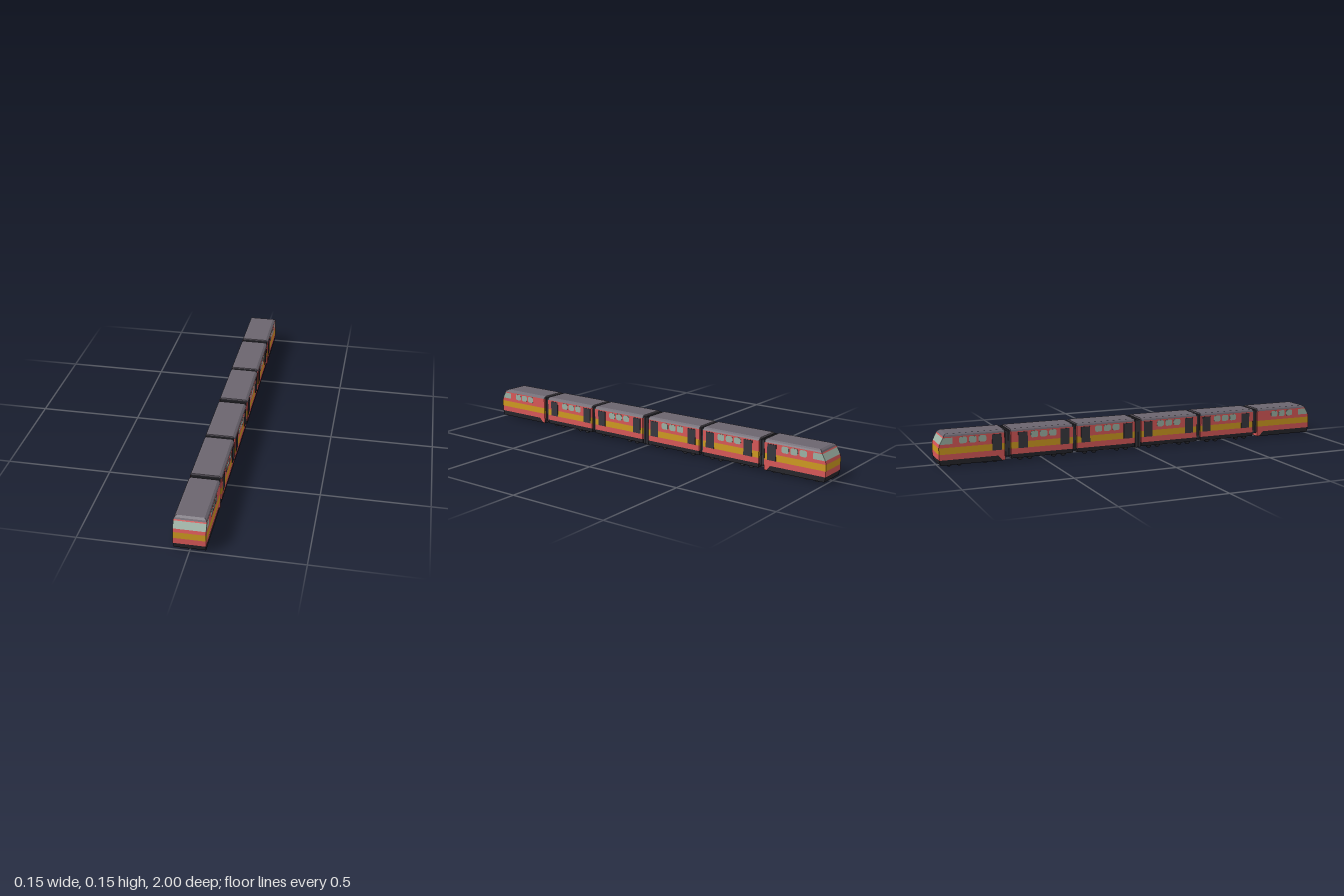
import * as THREE from 'three';

const mat = (name, color, side = THREE.FrontSide) => {
  const m = new THREE.MeshStandardMaterial({ color, side });
  m.name = name;
  return m;
};

export function createModel() {
  const train = new THREE.Group();
  train.name = 'train';
  const red = mat('red paint', 0xd95858), yellow = mat('yellow stripe', 0xcf9a20);
  const glass = mat('pale glass', 0x9db3a6), roofGrey = mat('roof grey', 0x6b656f);
  const black = mat('underframe black', 0x26262c), dark = mat('door charcoal', 0x38383f);
  const W = 0.072;

  const add = (parent, name, geo, material, x = 0, y = 0, z = 0) => {
    const m = new THREE.Mesh(geo, material);
    m.name = name;
    m.position.set(x, y, z);
    parent.add(m);
    return m;
  };

  // How far the cab end leans back at a given height
  const lean = (y) => (y > 0.1 ? (y - 0.1) * 0.55 : 0) + (y > 0.149 ? (y - 0.149) * 1.2 : 0)
    + (y < 0.03 ? (0.03 - y) * 0.3 : 0);

  // A horizontal slice of bodywork; ends that reach |z| = 1 follow the cab slope
  const band = (parent, name, material, y0, y1, zRear, zFront, w0 = W, w1 = W) => {
    const geo = new THREE.BoxGeometry(2, 1, 1).toNonIndexed();
    const p = geo.attributes.position;
    for (let i = 0; i < p.count; i++) {
      const top = p.getY(i) > 0, y = top ? y1 : y0;
      let z = p.getZ(i) > 0 ? zFront : zRear;
      if (Math.abs(z) > 0.999) z -= Math.sign(z) * lean(y);
      p.setXYZ(i, p.getX(i) * (top ? w1 : w0), y, z);
    }
    geo.computeVertexNormals();
    return add(parent, name, geo, material);
  };

  // Rounded window plate facing +x
  const windowShape = new THREE.Shape();
  const ww = 0.0185, wh = 0.0155, r = 0.011;
  windowShape.moveTo(-ww + r, -wh);
  windowShape.lineTo(ww - r, -wh);
  windowShape.quadraticCurveTo(ww, -wh, ww, -wh + r);
  windowShape.lineTo(ww, wh - r);
  windowShape.quadraticCurveTo(ww, wh, ww - r, wh);
  windowShape.lineTo(-ww + r, wh);
  windowShape.quadraticCurveTo(-ww, wh, -ww, wh - r);
  windowShape.lineTo(-ww, -wh + r);
  windowShape.quadraticCurveTo(-ww, -wh, -ww + r, -wh);
  const windowGeo = new THREE.ExtrudeGeometry(windowShape, { depth: 0.002, bevelEnabled: false, curveSegments: 5 });
  windowGeo.translate(0, 0, -0.001).rotateY(Math.PI / 2);

  const doorGeo = new THREE.BoxGeometry(0.003, 0.077, 0.046);
  const wheelGeo = new THREE.CylinderGeometry(0.014, 0.014, 0.011, 18).rotateZ(Math.PI / 2);
  const hubGeo = new THREE.CylinderGeometry(0.006, 0.006, 0.014, 12).rotateZ(Math.PI / 2);

  // Rear and front of each carriage, door centres and window centre
  const cars = [
    { z0: 0.685, z1: 1, doors: [], win: 0.832 },
    { z0: 0.349, z1: 0.656, doors: [0.61, 0.382], win: 0.49 },
    { z0: 0.016, z1: 0.326, doors: [0.281, 0.053], win: 0.167 },
    { z0: -0.326, z1: -0.02, doors: [-0.057, -0.281], win: -0.167 },
    { z0: -0.657, z1: -0.347, doors: [-0.388, -0.598], win: -0.495 },
    { z0: -1, z1: -0.687, doors: [-0.725], win: -0.84 },
  ];

  cars.forEach(({ z0, z1, doors, win }, i) => {
    const car = new THREE.Group();
    car.name = i === 0 ? 'frontCar' : i === 5 ? 'rearCar' : 'middleCar' + i;
    train.add(car);
    const first = i === 0, last = i === 5;

    // Bodywork stacked from skirt to roof
    band(car, 'skirt', black, first || last ? 0.008 : 0.013, 0.033, z0, z1, W - 0.002, W - 0.001);
    band(car, 'lowerPanel', red, 0.033, 0.06, z0, z1);
    band(car, 'stripe', yellow, 0.06, 0.091, z0, z1);
    band(car, 'midPanel', red, 0.091, 0.107, z0, z1);
    const a = last ? -0.935 : z0, b = first ? 0.935 : z1;
    band(car, 'windowPanel', red, 0.107, 0.137, a, b);
    if (first) band(car, 'windscreen', glass, 0.107, 0.137, b, z1);
    if (last) band(car, 'windscreen', glass, 0.107, 0.137, z0, a);
    band(car, 'upperPanel', red, 0.137, 0.142, z0, z1);
    band(car, 'roofEdge', roofGrey, 0.142, 0.149, z0, z1, W, 0.069);
    band(car, 'roof', roofGrey, 0.149, 0.155, z0, z1, 0.069, 0.06);

    for (const s of [-1, 1]) {
      for (const z of doors) add(car, 'door', doorGeo, dark, s * (W + 0.0005), 0.0985, z);
      for (const k of [-1, 0, 1]) add(car, 'sideWindow', windowGeo, glass, s * W, 0.122, win + k * 0.046);
    }

    // Red fairing at the coupled end of both cab cars
    if (first || last) {
      const e = first ? z0 : -z1;
      const shape = new THREE.Shape([[e, 0.034], [e, 0.01], [e + 0.012, 0.01], [e + 0.035, 0.034]]
        .map(([z, y]) => new THREE.Vector2(z, y)));
      const geo = new THREE.ExtrudeGeometry(shape, { depth: 2 * W, bevelEnabled: false });
      geo.translate(0, 0, -W).rotateY(first ? -Math.PI / 2 : Math.PI / 2);
      add(car, 'fairing', geo, red);
    }

    // Two bogies of two axles each
    if (!first) {
      const mid = (z0 + z1) / 2;
      for (const bogie of [-0.085, 0.085]) for (const axle of [-0.024, 0.024]) for (const s of [-1, 1]) {
        add(car, 'wheel', wheelGeo, black, s * 0.055, 0.014, mid + bogie + axle);
        add(car, 'hub', hubGeo, dark, s * 0.055, 0.014, mid + bogie + axle);
      }
    }
  });

  // Flexible gangways between neighbouring carriages, each with raised ribs
  for (let i = 0; i < cars.length - 1; i++) {
    const zf = cars[i].z0, zr = cars[i + 1].z1, mid = (zf + zr) / 2, len = zf - zr;
    const low = i === 2 ? 0.008 : 0.025;
    add(train, 'gangway', new THREE.BoxGeometry(0.124, 0.146 - low, len), dark, 0, (0.146 + low) / 2, mid);
    for (const k of [-0.25, 0.25]) {
      add(train, 'gangwayRib', new THREE.BoxGeometry(0.134, 0.15 - low, len * 0.2), dark, 0, (0.15 + low) / 2, mid + k * len);
    }
  }
  return train;
}
